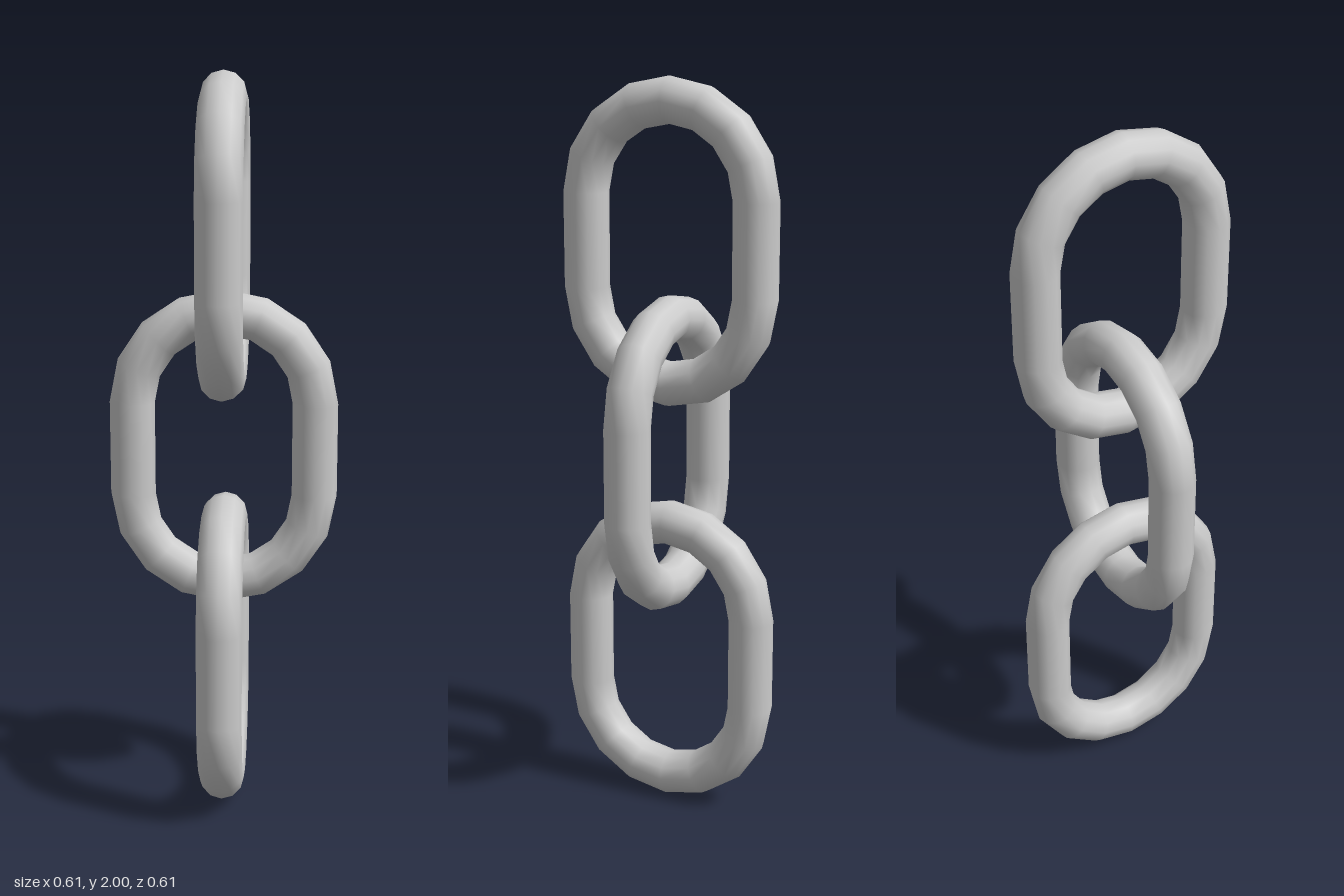
import * as THREE from 'three';

const RING = 0.246;     // centreline radius of the rounded ends
const WIRE = 0.061;     // wire radius
const HEIGHT = 0.867;   // overall link height
const SIDES = 12;       // sides of the wire
const ARC = 8;          // segments in each half-round end

// Oval link in the XY plane: a torus split at its middle and drawn apart
function linkGeometry() {
  const stations = 2 * (ARC + 1);
  const half = HEIGHT / 2 - RING - WIRE;
  const geo = new THREE.TorusGeometry(RING, WIRE, SIDES, stations);
  const { position, normal } = geo.attributes;
  let k = 0;
  for (let j = 0; j <= SIDES; j++) {
    const v = (j / SIDES) * Math.PI * 2;
    for (let i = 0; i <= stations; i++, k++) {
      const s = i % stations;
      const upper = s <= ARC;
      const u = ((upper ? s : s - 1) / ARC) * Math.PI;
      const r = RING + WIRE * Math.cos(v);
      position.setXYZ(k, r * Math.cos(u), r * Math.sin(u) + (upper ? half : -half), WIRE * Math.sin(v));
      normal.setXYZ(k, Math.cos(v) * Math.cos(u), Math.cos(v) * Math.sin(u), Math.sin(v));
    }
  }
  return geo;
}

export function createModel() {
  const chain = new THREE.Group();
  chain.name = 'chain';
  const geo = linkGeometry();
  const mat = new THREE.MeshStandardMaterial({ color: 0xcccccc });

  // Three links, each turned a quarter from its neighbour
  ['bottomLink', 'middleLink', 'topLink'].forEach((name, i) => {
    const link = new THREE.Mesh(geo, mat);
    link.name = name;
    link.position.y = HEIGHT / 2 + i * (1 - HEIGHT / 2);
    link.rotation.y = i === 1 ? 0 : Math.PI / 2;
    chain.add(link);
  });
  return chain;
}
